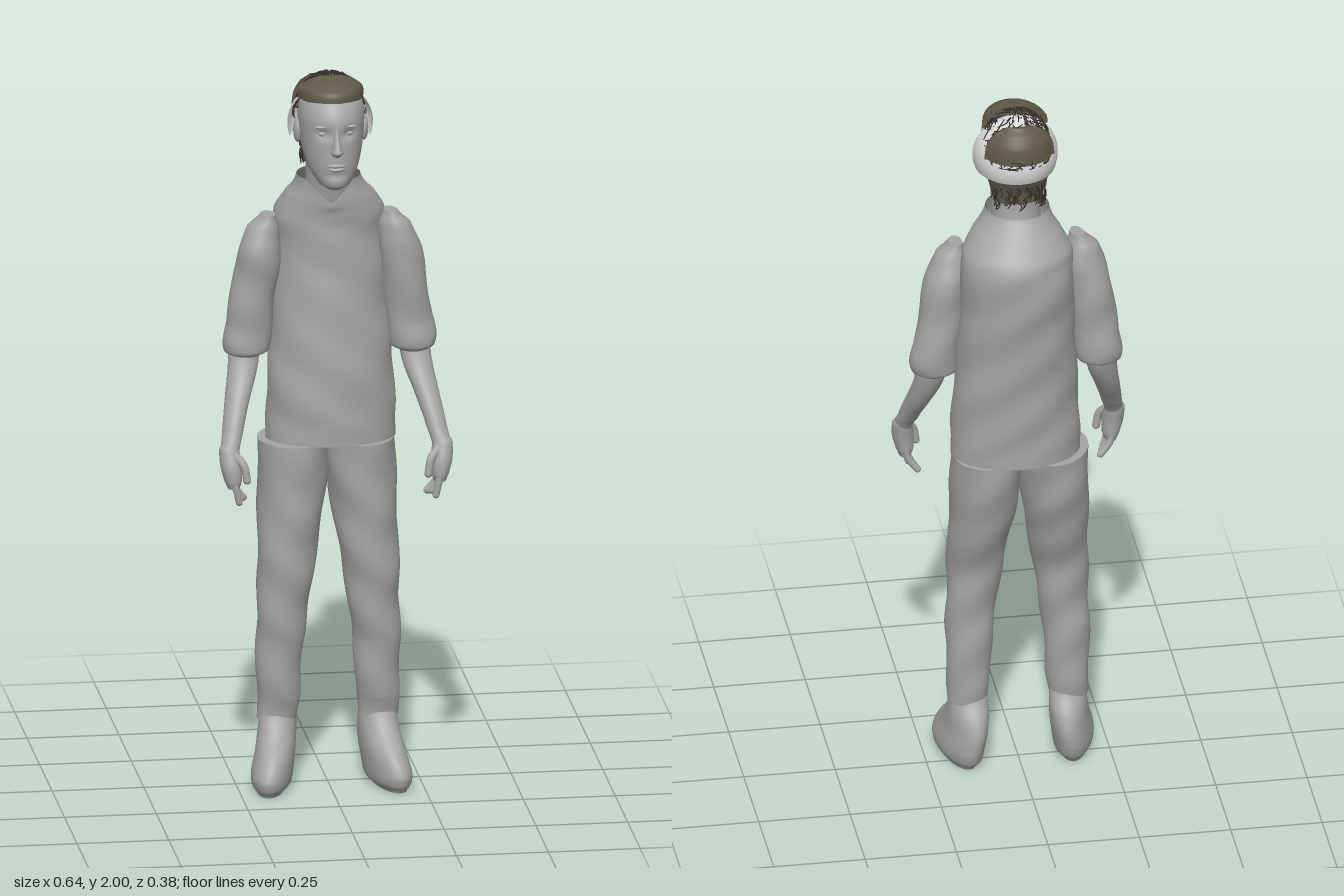
import * as THREE from 'three';
import { mergeGeometries } from 'three/addons/utils/BufferGeometryUtils.js';

const mat = (name, color, side = THREE.FrontSide) => {
  const m = new THREE.MeshStandardMaterial({ color, side });
  m.name = name;
  return m;
};

// Catmull-Rom blend of two neighbouring cross-sections
function blend(rows, i, t) {
  const p = k => rows[Math.min(Math.max(k, 0), rows.length - 1)];
  return rows[i].map((_, c) => {
    const [a, b, d, e] = [p(i - 1)[c], p(i)[c], p(i + 1)[c], p(i + 2)[c]];
    return c === 0 ? b + (d - b) * t
      : 0.5 * (2 * b + (d - a) * t + (2 * a - 5 * b + 4 * d - e) * t * t + (3 * b - a - 3 * d + e) * t * t * t);
  });
}

// Skin over oval sections [y, xMin, xMax, zMin, zMax], listed from the bottom up
function loft(rows, { tweak, capTop = true, capBottom = true, seg = 36, sub = 5 } = {}) {
  const rings = [];
  const ring = ([y, x0, x1, z0, z1], k = 1) => {
    const r = [];
    for (let j = 0; j < seg; j++) {
      const a = (j / seg) * Math.PI * 2;
      const v = new THREE.Vector3((x0 + x1) / 2 + k * Math.sin(a) * (x1 - x0) / 2, y,
        (z0 + z1) / 2 + k * Math.cos(a) * (z1 - z0) / 2);
      if (tweak) tweak(v);
      r.push(v);
    }
    rings.push(r);
  };
  const last = rows[rows.length - 1];
  if (capBottom) { ring(rows[0], 0); ring(rows[0]); }
  for (let i = 0; i < rows.length - 1; i++)
    for (let k = 0; k < sub; k++) ring(blend(rows, i, k / sub));
  ring(last);
  if (capTop) { ring(last); ring(last, 0); }
  const index = [];
  for (let i = 0; i < rings.length - 1; i++)
    for (let j = 0; j < seg; j++) {
      const n = (j + 1) % seg, a = i * seg + j, b = i * seg + n;
      index.push(a, b, b + seg, a, b + seg, a + seg);
    }
  const g = new THREE.BufferGeometry().setFromPoints(rings.flat());
  g.setIndex(index);
  g.computeVertexNormals();
  return g;
}

const mirror = (rows, s) => s > 0 ? rows : rows.map(([y, a, b, c, d]) => [y, -b, -a, c, d]);

// Gentle cloth folds
const folds = v => {
  v.z += 0.003 * Math.sin(v.y * 38 + v.x * 25);
  v.x += 0.0025 * Math.sin(v.y * 31 + v.z * 28);
};

export function createModel() {
  const model = new THREE.Group();
  const body = mat('body grey', 0xa6a6a6);
  const cloth = mat('cloth grey', 0xa4a4a4, THREE.DoubleSide);
  const capMat = mat('cap light grey', 0xdadada, THREE.DoubleSide);
  const hairMat = mat('hair brown', 0x615a4b, THREE.DoubleSide);
  const strandMat = mat('strand dark brown', 0x35312a);
  const add = (name, geo, material, parent = model) => {
    const m = new THREE.Mesh(geo, material);
    m.name = name;
    parent.add(m);
    return m;
  };
  const ball = (name, p, r, material, parent) => {
    const m = add(name, new THREE.SphereGeometry(1, 20, 14), material, parent);
    m.position.set(...p);
    m.scale.set(...r);
  };

  // Shirt with a V-shaped neck opening
  add('shirt', loft([
    [0.967, -0.165, 0.188, -0.15, 0.1], [1.08, -0.162, 0.186, -0.154, 0.1],
    [1.2, -0.155, 0.18, -0.162, 0.095], [1.4, -0.144, 0.168, -0.18, 0.08],
    [1.53, -0.14, 0.165, -0.192, 0.072], [1.6, -0.138, 0.162, -0.184, 0.072],
    [1.65, -0.112, 0.132, -0.15, 0.078], [1.68, -0.092, 0.105, -0.12, 0.08],
    [1.71, -0.083, 0.09, -0.095, 0.08]], {
    capTop: false, seg: 64,
    tweak: v => {
      if (v.y > 1.62 && v.z > 0) v.y -= 0.065 * Math.max(0, 1 - Math.abs(v.x) / 0.065) * (v.y - 1.62) / 0.09;
      else if (v.y < 1.6 && v.y > 1) folds(v);
    } }), cloth);

  for (const s of [1, -1]) {
    const side = s > 0 ? 'left' : 'right';

    // Trouser leg and shoe
    add(side + 'TrouserLeg', loft(mirror([
      [0.185, 0.085, 0.192, -0.04, 0.048], [0.25, 0.077, 0.193, -0.048, 0.058],
      [0.4, 0.068, 0.197, -0.05, 0.07], [0.5, 0.055, 0.193, -0.052, 0.08],
      [0.6, 0.04, 0.193, -0.06, 0.09], [0.7, 0.024, 0.191, -0.09, 0.095],
      [0.8, 0.008, 0.189, -0.12, 0.097], [0.88, -0.002, 0.188, -0.135, 0.1],
      [0.968, -0.008, 0.186, -0.145, 0.1]], s), { tweak: folds }), cloth);
    add(side + 'Shoe', loft(mirror([
      [0, 0.118, 0.195, -0.06, 0.15], [0.02, 0.1, 0.208, -0.076, 0.163],
      [0.05, 0.095, 0.21, -0.086, 0.166], [0.1, 0.09, 0.2, -0.089, 0.135],
      [0.15, 0.088, 0.194, -0.074, 0.08], [0.2, 0.088, 0.189, -0.042, 0.047]], s), {
      tweak: v => { v.x += s * 0.17 * (v.z - 0.02); } }), body);

    // Sleeve, bare forearm and hand
    const arm = new THREE.Group();
    arm.name = side + 'Arm';
    arm.position.x = 0.005;
    model.add(arm);
    add('sleeve', loft(mirror([
      [1.208, 0.19, 0.268, -0.042, 0.033], [1.22, 0.166, 0.286, -0.058, 0.048],
      [1.25, 0.16, 0.291, -0.062, 0.052], [1.3, 0.155, 0.281, -0.061, 0.05],
      [1.4, 0.144, 0.266, -0.062, 0.056], [1.5, 0.134, 0.25, -0.06, 0.064],
      [1.57, 0.136, 0.222, -0.04, 0.05], [1.605, 0.148, 0.185, -0.027, 0.035]], s), { tweak: folds }), cloth, arm);
    add('forearm', loft(mirror([
      [0.97, 0.264, 0.314, 0.105, 0.16], [1.02, 0.25, 0.306, 0.072, 0.138],
      [1.1, 0.225, 0.292, 0.014, 0.096], [1.18, 0.197, 0.278, -0.026, 0.05],
      [1.24, 0.19, 0.275, -0.04, 0.03]], s), {}), body, arm);
    add('palm', loft(mirror([
      [0.88, 0.264, 0.298, 0.118, 0.176], [0.9, 0.258, 0.306, 0.112, 0.181],
      [0.94, 0.258, 0.316, 0.108, 0.178], [0.985, 0.264, 0.317, 0.1, 0.162],
      [1.0, 0.272, 0.308, 0.105, 0.148]], s), {}), body, arm);
    const digit = (name, pts, r) => {
      const v = pts.map(([x, y, z]) => new THREE.Vector3(s * x, y, z));
      add(name, new THREE.TubeGeometry(new THREE.CatmullRomCurve3(v), 8, r, 10), body, arm);
      ball(name + 'Tip', v[v.length - 1].toArray(), [r, r, r], body, arm);
    };
    [0.121, 0.138, 0.155, 0.17].forEach((z, i) => digit('finger' + (i + 1),
      [[0.284, 0.91, z], [0.275, 0.875, z], [0.25 + 0.006 * i, 0.843 + 0.004 * (i % 3), z - 0.002]], 0.0095));
    digit('thumb', [[0.28, 0.975, 0.15], [0.255, 0.945, 0.168], [0.247, 0.905, 0.172]], 0.011);
  }

  // Neck and head
  const head = new THREE.Group();
  head.name = 'head';
  head.position.x = 0.005;
  model.add(head);
  add('neck', loft([
    [1.6, -0.075, 0.075, -0.08, 0.06], [1.66, -0.068, 0.068, -0.068, 0.075],
    [1.72, -0.066, 0.066, -0.06, 0.09], [1.79, -0.066, 0.066, -0.06, 0.1]], {}), body, head);
  add('face', loft([
    [1.702, -0.024, 0.024, 0.06, 0.134], [1.715, -0.043, 0.043, 0.03, 0.154],
    [1.75, -0.066, 0.066, -0.02, 0.158], [1.8, -0.08, 0.08, -0.055, 0.157],
    [1.85, -0.087, 0.087, -0.08, 0.156], [1.9, -0.089, 0.089, -0.083, 0.152],
    [1.94, -0.078, 0.078, -0.05, 0.13], [1.966, -0.04, 0.04, -0.01, 0.09]], {
    seg: 64, sub: 7,
    // Eye sockets and the hollow under the lower lip
    tweak: v => {
      if (v.z < 0.06) return;
      const e = (Math.abs(v.x) - 0.034) / 0.018, h = (v.y - 1.862) / 0.014;
      v.z -= 0.012 * Math.exp(-e * e - h * h);
      v.z -= 0.005 * Math.exp(-((v.y - 1.748) ** 2) / 0.00012 - (v.x * 30) ** 2);
    } }), body, head);
  add('nose', loft([
    [1.803, -0.012, 0.012, 0.12, 0.168], [1.814, -0.018, 0.018, 0.12, 0.184],
    [1.826, -0.014, 0.014, 0.12, 0.181], [1.85, -0.01, 0.01, 0.12, 0.167],
    [1.88, -0.009, 0.009, 0.12, 0.155]], { seg: 20 }), body, head);
  ball('upperLip', [0, 1.776, 0.152], [0.026, 0.006, 0.012], body, head);
  ball('lowerLip', [0, 1.765, 0.151], [0.022, 0.007, 0.012], body, head);
  for (const s of [1, -1]) {
    ball('eye', [s * 0.034, 1.861, 0.129], [0.014, 0.008, 0.01], body, head);
    ball('brow', [s * 0.035, 1.882, 0.137], [0.022, 0.005, 0.01], body, head);
    ball('ear', [s * 0.09, 1.845, 0.03], [0.012, 0.034, 0.02], body, head);
  }

  // Light half-dome around the back of the skull
  const cap = add('skullCap', new THREE.SphereGeometry(1, 40, 24, Math.PI, Math.PI, 0, 1.93), capMat, head);
  cap.position.set(0, 1.86, 0.025);
  cap.scale.set(0.116, 0.111, 0.13);

  // Hair: front crown, back crown and nape
  add('frontHair', loft([
    [1.938, -0.09, 0.09, -0.105, 0.127], [1.965, -0.086, 0.086, -0.1, 0.122],
    [1.984, -0.062, 0.062, -0.07, 0.09], [1.994, -0.03, 0.03, -0.03, 0.045]], {
    tweak: v => { v.z = Math.max(v.z, 0.026); } }), hairMat, head);
  add('backHair', loft([
    [1.885, -0.096, 0.096, -0.113, 0.08], [1.93, -0.09, 0.09, -0.108, 0.08],
    [1.96, -0.072, 0.072, -0.09, 0.06], [1.978, -0.045, 0.045, -0.068, 0.03]], {
    tweak: v => { v.z = Math.min(v.z, -0.055); } }), hairMat, head);
  add('napeHair', loft([
    [1.742, -0.066, 0.066, -0.064, 0.01], [1.78, -0.075, 0.075, -0.07, 0.015],
    [1.825, -0.084, 0.084, -0.085, 0.02]], {}), hairMat, head);

  // Short loose strands laid over the crown and nape
  let seed = 7;
  const rnd = () => (seed = (seed * 16807) % 2147483647) / 2147483647;
  const strands = [];
  const onScalp = (az, el) => new THREE.Vector3(0.099 * Math.cos(el) * Math.sin(az),
    1.872 + 0.125 * Math.sin(el), 0.003 + 0.117 * Math.cos(el) * Math.cos(az));
  for (let i = 0; i < 420; i++) {
    const az = rnd() * Math.PI * 2, front = Math.cos(az) > 0.1;
    const low = front ? 0.6 : 0.02;
    const el = Math.asin(Math.sin(low) + rnd() * (0.99 - Math.sin(low)));
    const turn = (rnd() - 0.5) * 0.9, drop = (rnd() - 0.5) * 0.7;
    const pts = [0, 0.5, 1].map(t => onScalp(az + turn * t, Math.max(low, el + drop * t)));
    strands.push(new THREE.TubeGeometry(new THREE.CatmullRomCurve3(pts), 4, 0.0016, 4));
  }
  for (let i = 0; i < 70; i++) {
    const az = Math.PI + (rnd() - 0.5) * 2.6, y = 1.75 + rnd() * 0.06;
    const p = (a, h) => new THREE.Vector3(0.078 * Math.sin(a), h, -0.026 + 0.05 * Math.cos(a));
    strands.push(new THREE.TubeGeometry(new THREE.CatmullRomCurve3(
      [p(az, y), p(az + 0.1, y - 0.012), p(az + 0.15 * (rnd() - 0.5), y - 0.025)]), 4, 0.0016, 4));
  }
  add('hairStrands', mergeGeometries(strands), strandMat, head);

  return model;
}
